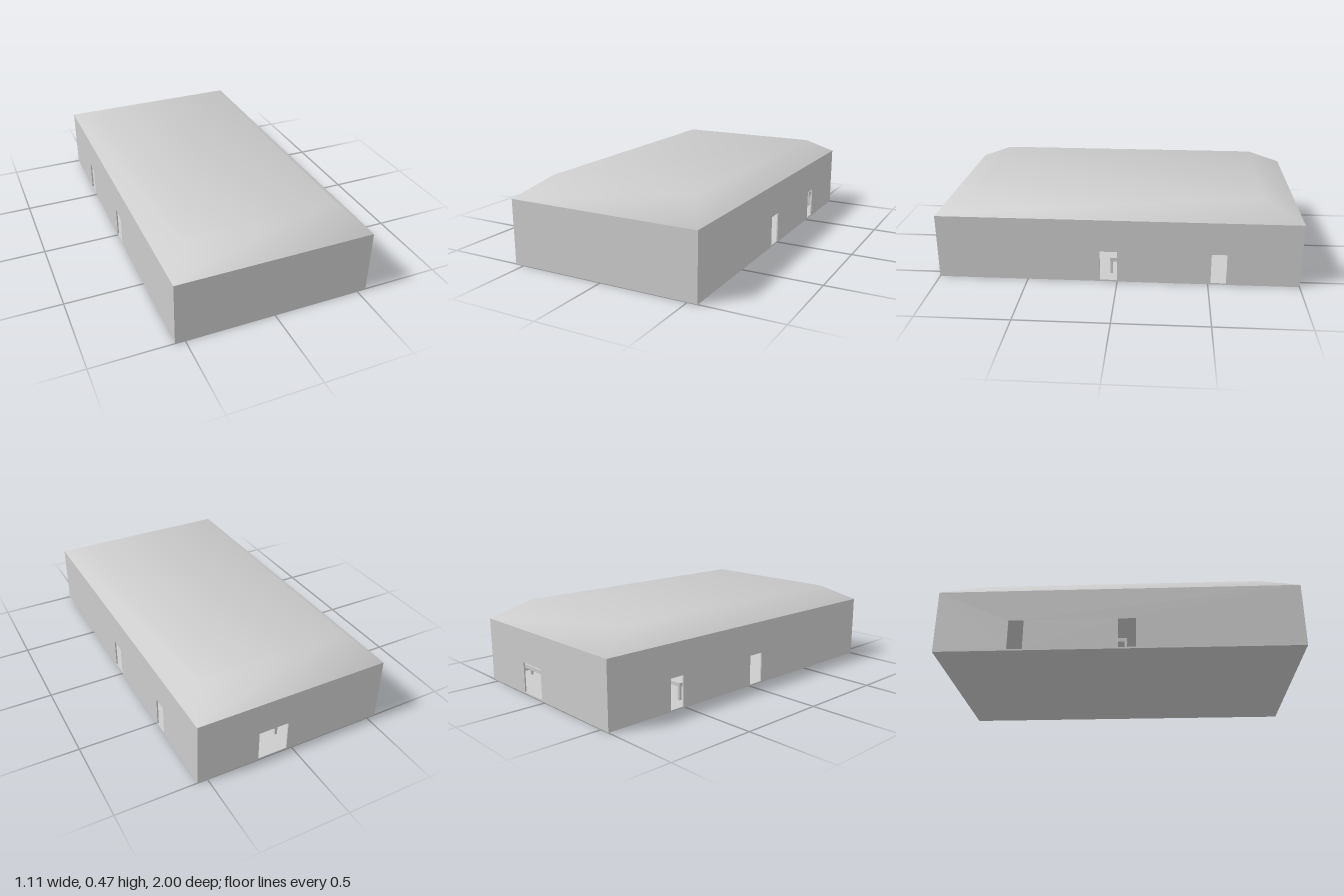
import * as THREE from 'three';
import { toCreasedNormals } from 'three/addons/utils/BufferGeometryUtils.js';

const W = 1.11, L = 2, EAVE = 0.365, RIDGE = 0.465, FLOOR = 0.007, THICK = 0.008, DOOR = 0.18;
const grey = new THREE.MeshStandardMaterial({ color: 0xcccccc, side: THREE.DoubleSide });

function add(parent, name, geometry, x = 0, y = 0, z = 0) {
  const mesh = new THREE.Mesh(geometry, grey);
  mesh.name = name;
  mesh.position.set(x, y, z);
  parent.add(mesh);
  return mesh;
}

function box(parent, name, size, x, y, z) {
  return add(parent, name, new THREE.BoxGeometry(...size), x, y, z);
}

// Wall panel in the XY plane with door openings given as [from, to]
function wallGeometry(width, doors) {
  const rect = (Type, a, b, y0, y1) => new Type([
    new THREE.Vector2(a, y0), new THREE.Vector2(b, y0),
    new THREE.Vector2(b, y1), new THREE.Vector2(a, y1)]);
  const shape = rect(THREE.Shape, -width / 2, width / 2, FLOOR, EAVE);
  for (const [a, b] of doors) shape.holes.push(rect(THREE.Path, a, b, FLOOR + 0.002, DOOR));
  return new THREE.ExtrudeGeometry(shape, { depth: THICK, bevelEnabled: false });
}

// Long table: a top on four square legs
function table(parent, x0, x1, z) {
  const group = new THREE.Group();
  group.name = 'table';
  const depth = 0.09, leg = 0.014, top = 0.022, height = 0.103;
  const mid = (x0 + x1) / 2, legH = height - top - FLOOR;
  box(group, 'tableTop', [x1 - x0, top, depth], mid, height - top / 2, z);
  for (const x of [x0 + leg / 2, x1 - leg / 2])
    for (const s of [-1, 1])
      box(group, 'tableLeg', [leg, legH, leg], x, FLOOR + legH / 2, z + s * (depth - leg) / 2);
  parent.add(group);
}

export function createModel() {
  const hall = new THREE.Group();
  hall.name = 'hall';

  box(hall, 'floor', [W, FLOOR, L], 0, FLOOR / 2, 0);

  // Side walls, each with two doorways
  const sideDoors = [[0, 0.096], [-0.6, -0.515]];
  const right = add(hall, 'rightWall', wallGeometry(L, sideDoors.map(([a, b]) => [-b, -a])), W / 2 - THICK);
  right.rotation.y = Math.PI / 2;
  const left = add(hall, 'leftWall', wallGeometry(L, sideDoors), -W / 2 + THICK);
  left.rotation.y = -Math.PI / 2;

  // End walls: closed front, one doorway at the back
  const inner = W - 2 * THICK;
  add(hall, 'frontWall', wallGeometry(inner, []), 0, 0, L / 2 - THICK);
  add(hall, 'backWall', wallGeometry(inner, [[0.03, 0.203]]), 0, 0, -L / 2);

  // Truncated hip roof: a box drawn in at the top, softly shaded over the hips
  const roof = new THREE.BoxGeometry(W, RIDGE - EAVE, L);
  const p = roof.attributes.position;
  for (let i = 0; i < p.count; i++)
    if (p.getY(i) > 0) {
      p.setX(i, Math.sign(p.getX(i)) * 0.437);
      p.setZ(i, Math.sign(p.getZ(i)) * 0.79);
    }
  add(hall, 'roof', toCreasedNormals(roof, 1.2), 0, (EAVE + RIDGE) / 2, 0);

  // Rows of tables on both sides of the aisle
  for (const z of [-0.84, -0.42, 0, 0.42, 0.84]) {
    table(hall, 0.19, 0.47, z);
    table(hall, -0.47, 0.03, z);
  }
  return hall;
}
